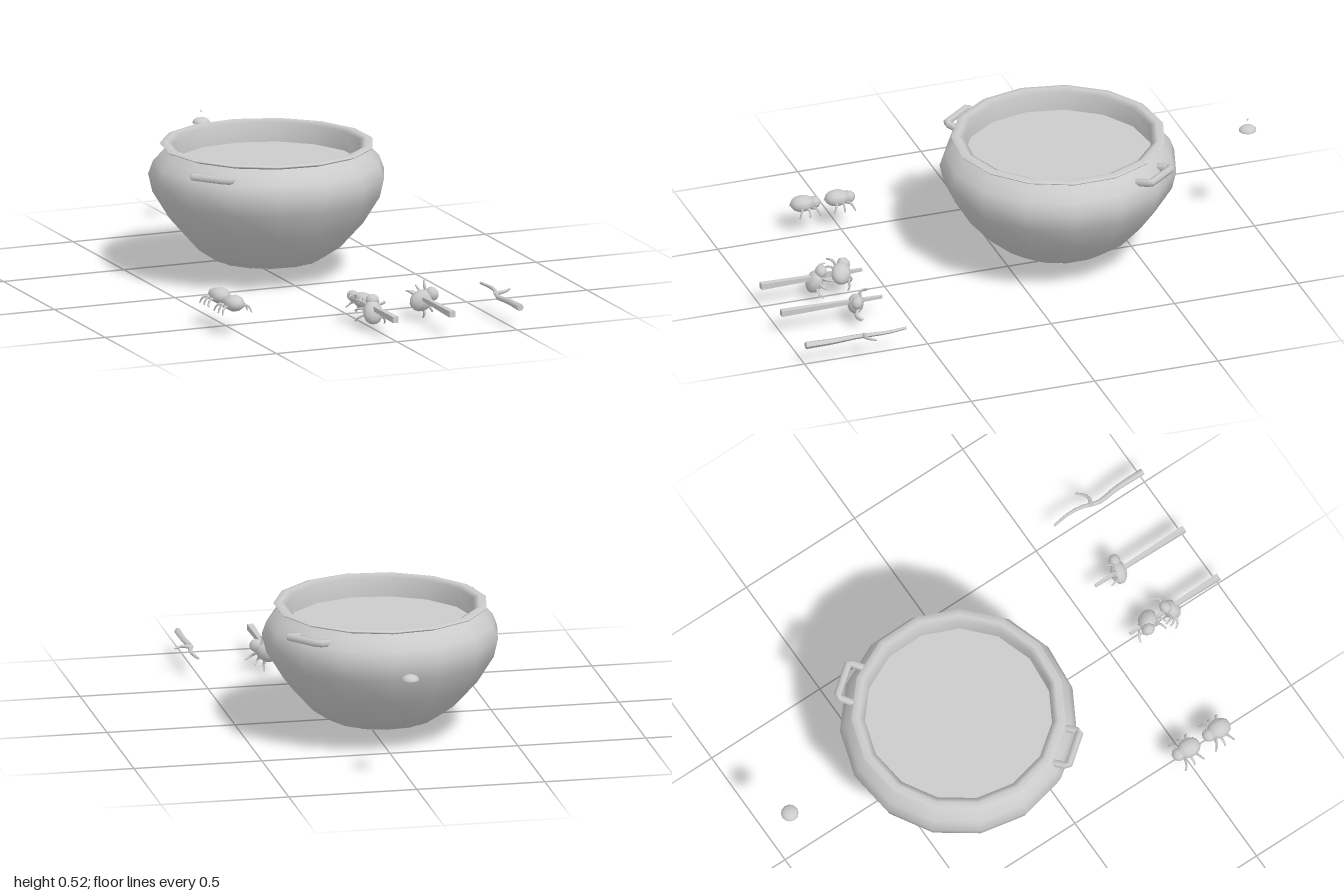
import * as THREE from 'three';

const V = (x, y, z) => new THREE.Vector3(x, y, z);
const smooth = new THREE.MeshStandardMaterial({ color: 0xcccccc, side: THREE.DoubleSide });
const faceted = new THREE.MeshStandardMaterial({ color: 0xcccccc, flatShading: true, side: THREE.DoubleSide });

function add(parent, name, geometry, material = smooth) {
  const mesh = new THREE.Mesh(geometry, material);
  mesh.name = name;
  parent.add(mesh);
  return mesh;
}

// Tube that narrows from r0 to r1 along its path
function taperedTube(points, r0, r1, segments, sides) {
  const curve = new THREE.CatmullRomCurve3(points);
  const geo = new THREE.TubeGeometry(curve, segments, 1, sides);
  const pos = geo.attributes.position, p = V(0, 0, 0);
  for (let i = 0; i < pos.count; i++) {
    const t = Math.floor(i / (sides + 1)) / segments;
    const c = curve.getPointAt(t);
    p.fromBufferAttribute(pos, i).sub(c).multiplyScalar(r0 + (r1 - r0) * t).add(c);
    pos.setXYZ(i, p.x, p.y, p.z);
  }
  geo.computeVertexNormals();
  return geo;
}

function makePot() {
  const pot = new THREE.Group();
  pot.name = 'cauldron';
  pot.position.set(-0.025, 0, -0.215);
  const sides = 15, start = THREE.MathUtils.degToRad(175);
  const lathe = pts => new THREE.LatheGeometry(pts.map(([r, y]) => new THREE.Vector2(r, y)), sides, start);

  add(pot, 'bowl', lathe([[0.21, 0.06], [0.285, 0.11], [0.375, 0.21], [0.44, 0.315], [0.456, 0.385],
    [0.438, 0.435], [0.405, 0.47], [0.38, 0.493]]));
  add(pot, 'rim', lathe([[0.38, 0.49], [0.408, 0.5], [0.412, 0.506], [0.385, 0.512], [0.362, 0.5], [0.362, 0.41]]));
  add(pot, 'base', lathe([[0, 0.061], [0.212, 0.061]]), faceted);
  add(pot, 'liquid', lathe([[0.365, 0.425], [0, 0.425]]), faceted);

  // Two bent carrying handles on opposite sides
  for (const turn of [0, Math.PI]) {
    const corners = [V(-0.074, 0.448, 0.4), V(-0.074, 0.46, 0.464), V(0.074, 0.46, 0.464), V(0.074, 0.448, 0.4)];
    const path = new THREE.CurvePath();
    for (let i = 0; i < 3; i++) path.add(new THREE.LineCurve3(corners[i], corners[i + 1]));
    const handle = add(pot, 'handle', new THREE.TubeGeometry(path, 16, 0.015, 6));
    handle.rotation.y = Math.atan2(0.79, -0.62) + turn;
  }
  return pot;
}

// Beetle with its head along +z before it is turned
function makeBeetle(position, forward, up) {
  const beetle = new THREE.Group();
  beetle.name = 'beetle';
  add(beetle, 'shell', new THREE.SphereGeometry(1, 10, 8).rotateX(Math.PI / 2).scale(0.04, 0.032, 0.047))
    .position.z = -0.013;
  add(beetle, 'head', new THREE.SphereGeometry(1, 8, 6).rotateX(Math.PI / 2).scale(0.028, 0.023, 0.025))
    .position.set(0, -0.002, 0.035);
  for (const s of [-1, 1]) {
    for (const k of [-1, 0, 1]) {
      const z = k * 0.024;
      add(beetle, 'leg', taperedTube([V(s * 0.02, -0.014, z * 0.8), V(s * 0.046, -0.008, z * 1.2),
        V(s * 0.056, -0.02, z * 1.5), V(s * 0.06, -0.036, z * 1.8)], 0.007, 0.003, 5, 5));
    }
  }
  beetle.position.copy(position);
  beetle.up.copy(up);
  beetle.lookAt(position.clone().add(forward));
  return beetle;
}

export function createModel() {
  const model = new THREE.Group();
  model.name = 'cauldronAndIngredients';
  model.add(makePot());

  // Loose beetles
  for (const z of [0.495, 0.635]) model.add(makeBeetle(V(-0.527, 0.112, z), V(0, 0, -1), V(0, 1, 0)));

  // Square skewers, thicker at the front
  for (const x of [-0.005, 0.23]) {
    const geo = new THREE.CylinderGeometry(0.017, 0.008, 0.41, 4).rotateY(Math.PI / 4).rotateX(Math.PI / 2);
    add(model, 'skewer', geo, faceted).position.set(x, 0.075, 0.795);
  }
  // Skewered beetles
  model.add(
    makeBeetle(V(-0.005, 0.068, 0.775), V(0.15, 0.85, -0.4), V(0, 0.4, 0.85)),
    makeBeetle(V(-0.008, 0.082, 0.67), V(-0.7, 0.4, -0.45), V(0.1, 0.8, -0.5)),
    makeBeetle(V(0.24, 0.07, 0.7), V(0.8, 0.5, 0.2), V(-0.1, 0.3, 0.9)),
  );

  // Forked twig
  const twig = new THREE.Group();
  twig.name = 'twig';
  add(twig, 'stem', taperedTube([V(0.513, 0.075, 1), V(0.513, 0.074, 0.88), V(0.505, 0.073, 0.79),
    V(0.522, 0.08, 0.73), V(0.527, 0.082, 0.67), V(0.518, 0.083, 0.595)], 0.014, 0.005, 12, 6));
  add(twig, 'branch', taperedTube([V(0.506, 0.077, 0.76), V(0.538, 0.084, 0.768), V(0.56, 0.085, 0.756),
    V(0.58, 0.085, 0.735)], 0.009, 0.004, 6, 5));
  add(twig, 'cutEnd', new THREE.CircleGeometry(0.014, 6)).position.set(0.513, 0.075, 1);
  model.add(twig);

  // Small floating domed cap with a bead above it
  const cap = new THREE.Group();
  cap.name = 'domedCap';
  cap.position.set(0.018, 0.416, -0.966);
  add(cap, 'dome', new THREE.SphereGeometry(0.034, 12, 6, 0, Math.PI * 2, 0, Math.PI / 2).scale(1, 0.62, 1));
  add(cap, 'underside', new THREE.CircleGeometry(0.034, 12).rotateX(Math.PI / 2));
  add(cap, 'bead', new THREE.SphereGeometry(0.004, 6, 4)).position.y = 0.047;
  model.add(cap);

  return model;
}
